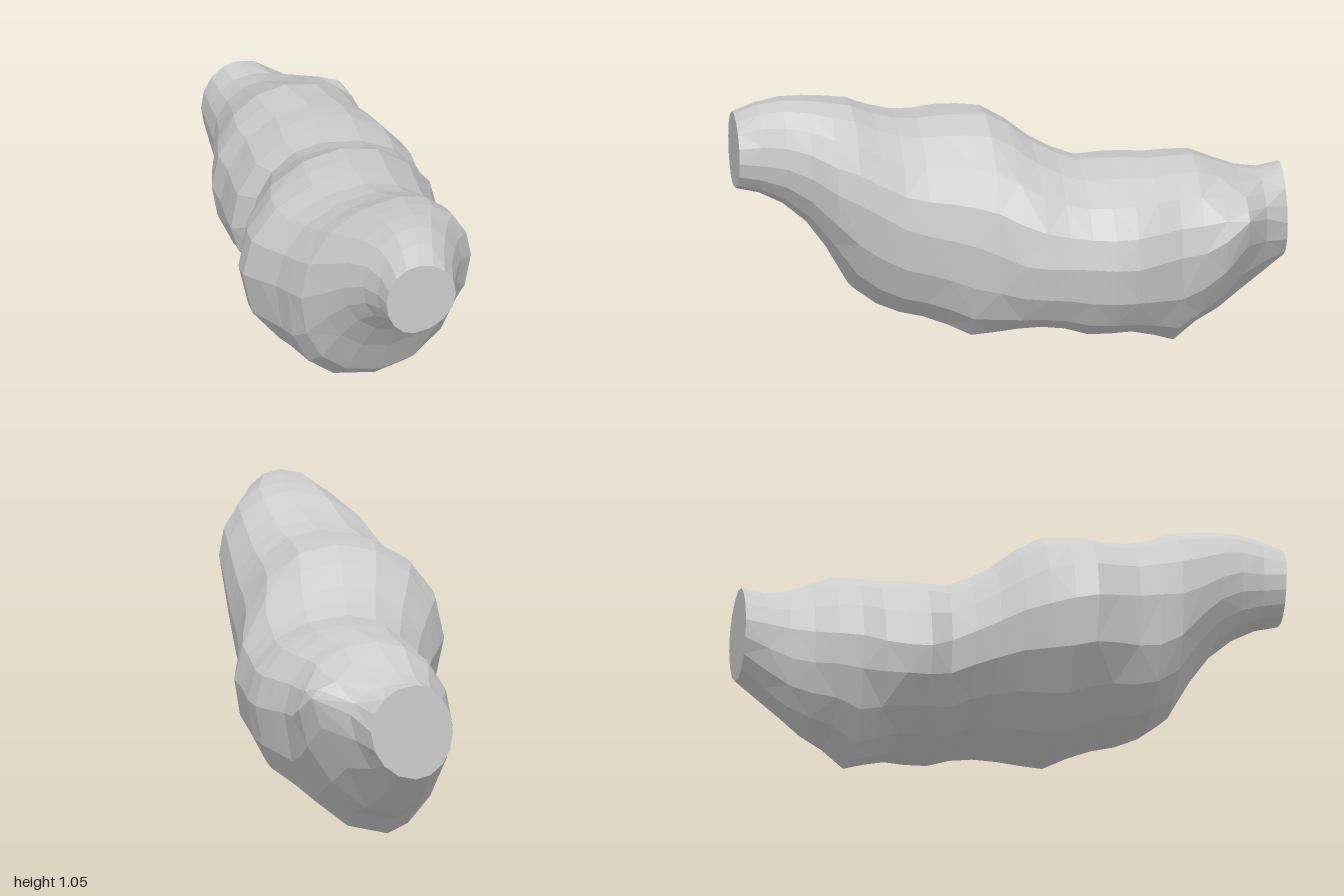
import * as THREE from 'three';

// Outline tracks along the body: [z, value], from the front end to the back end
const top = [[1, 1], [0.9, 1.045], [0.8, 1.06], [0.6, 1.035], [0.5, 0.98], [0.37, 0.93], [0.2, 0.935], [0.05, 0.925],
  [-0.05, 0.83], [-0.15, 0.77], [-0.25, 0.735], [-0.4, 0.74], [-0.68, 0.72], [-0.8, 0.65], [-0.9, 0.615], [-1, 0.625]];
const bottom = [[1, 0.715], [0.9, 0.69], [0.8, 0.63], [0.7, 0.52], [0.6, 0.32], [0.55, 0.255], [0.45, 0.205], [0.3, 0.18],
  [0.16, 0.115], [-0.05, 0.16], [-0.15, 0.15], [-0.25, 0.115], [-0.4, 0.1], [-0.5, 0.05], [-0.583, 0], [-0.68, 0.08],
  [-0.8, 0.11], [-0.9, 0.19], [-1, 0.28]];
const leftSide = [[1, 0.155], [0.9, 0.18], [0.75, 0.25], [0.67, 0.31], [0.4, 0.32], [0.2, 0.335], [0.05, 0.365],
  [-0.05, 0.41], [-0.2, 0.4], [-0.38, 0.415], [-0.5, 0.365], [-0.6, 0.32], [-0.8, 0.305], [-0.833, 0.28], [-0.88, 0.18], [-1, 0.095]];
const rightSide = [[1, -0.105], [0.9, -0.115], [0.8, -0.16], [0.7, -0.225], [0.57, -0.31], [0.4, -0.35], [0.26, -0.42],
  [0.15, -0.41], [0, -0.34], [-0.1, -0.29], [-0.25, -0.24], [-0.34, -0.295], [-0.5, -0.28], [-0.6, -0.29], [-0.8, -0.21], [-1, -0.205]];
// Where the crest, keel and widest points sit within each section
const crestX = [[1, 0.02], [0.8, 0.06], [0.6, 0.08], [0.3, 0], [0, 0], [-0.5, 0.05], [-1, -0.07]];
const keelX = [[1, 0], [0.5, 0], [0.16, 0.11], [-0.3, 0.12], [-0.583, -0.05], [-1, -0.07]];
const leftY = [[1, 0.86], [0.8, 0.85], [0.6, 0.75], [0.4, 0.62], [0.2, 0.57], [0, 0.49], [-0.4, 0.45], [-0.7, 0.46], [-0.83, 0.56], [-1, 0.46]];
const rightY = [[1, 0.86], [0.8, 0.83], [0.6, 0.66], [0.26, 0.57], [0, 0.52], [-0.25, 0.42], [-0.35, 0.36], [-0.6, 0.39], [-0.8, 0.42], [-1, 0.45]];
// Roundness of the lower quarters: below 1 is squarer, above 1 is pinched
const lowerLeftPower = [[1, 1], [0.3, 1], [-0.2, 0.93], [-0.45, 0.97], [-0.7, 1], [-0.83, 1.4], [-1, 1]];
const lowerRightPower = [[1, 1], [0.7, 1], [0.5, 0.78], [0.2, 0.95], [-0.35, 1], [-0.583, 1.2], [-0.8, 1], [-1, 1]];

function at(track, z) {
  const i = Math.max(1, track.findIndex(p => p[0] <= z + 1e-6));
  const [z0, v0] = track[i - 1], [z1, v1] = track[i];
  return THREE.MathUtils.mapLinear(z, z0, z1, v0, v1);
}

const SIDES = 16, RINGS = 24;

// One section: four rounded quarters joining the left, crest, right and keel points
function section(z) {
  return Array.from({ length: SIDES }, (_, j) => {
    const a = j / SIDES * Math.PI * 2, c = Math.cos(a), s = Math.sin(a);
    const isLeft = c >= 0, isUpper = s >= 0;
    const power = isUpper ? 1 : at(isLeft ? lowerLeftPower : lowerRightPower, z);
    const midX = at(isUpper ? crestX : keelX, z);
    const midY = at(isLeft ? leftY : rightY, z);
    const x = midX + Math.abs(c) ** power * (at(isLeft ? leftSide : rightSide, z) - midX);
    const y = midY + Math.abs(s) ** power * (at(isUpper ? top : bottom, z) - midY);
    return [x, y, z];
  });
}

function meshFrom(name, positions, material) {
  const geometry = new THREE.BufferGeometry();
  geometry.setAttribute('position', new THREE.Float32BufferAttribute(positions, 3));
  geometry.computeVertexNormals();
  const mesh = new THREE.Mesh(geometry, material);
  mesh.name = name;
  return mesh;
}

export function createModel() {
  const group = new THREE.Group();
  group.name = 'lumpyTube';
  const material = new THREE.MeshStandardMaterial({ color: 0xcccccc, flatShading: true });
  const rings = Array.from({ length: RINGS + 1 }, (_, i) => section(1 - 2 * i / RINGS));

  // Faceted body wall, with diagonals alternating
  const wall = [];
  for (let i = 0; i < RINGS; i++) {
    for (let j = 0; j < SIDES; j++) {
      const k = (j + 1) % SIDES;
      const a = rings[i][j], b = rings[i][k], c = rings[i + 1][j], d = rings[i + 1][k];
      const faces = (i + j) % 2 ? [a, c, b, b, c, d] : [a, c, d, a, d, b];
      wall.push(...faces.flat());
    }
  }
  group.add(meshFrom('body', wall, material));

  // Flat cut ends
  const cap = (ring, front) => {
    const out = [];
    for (let j = 1; j < SIDES - 1; j++) {
      out.push(...ring[0], ...ring[front ? j : j + 1], ...ring[front ? j + 1 : j]);
    }
    return out;
  };
  group.add(meshFrom('frontEnd', cap(rings[0], true), material));
  group.add(meshFrom('backEnd', cap(rings[RINGS], false), material));
  return group;
}
